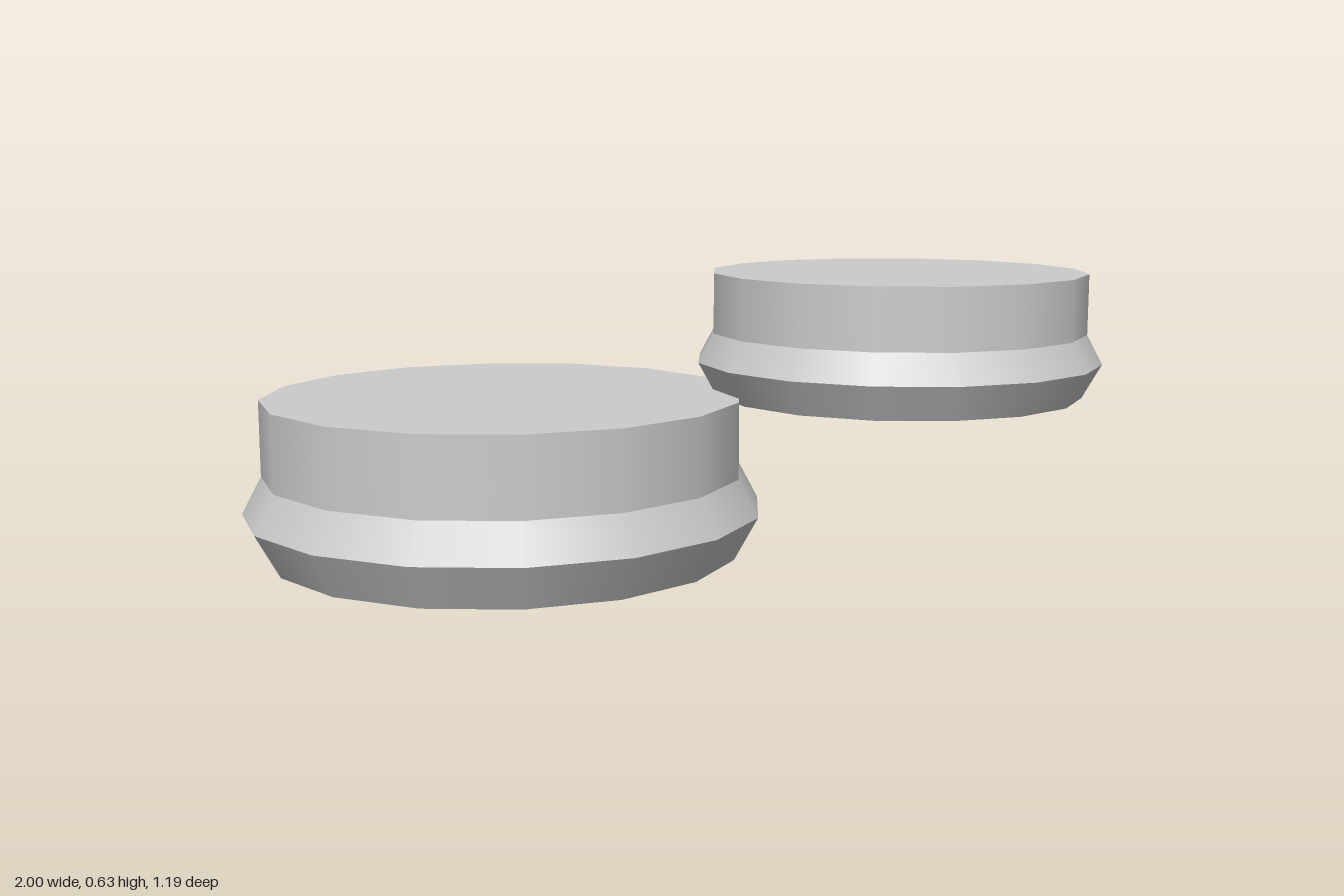
import * as THREE from 'three';
import { mergeGeometries } from 'three/addons/utils/BufferGeometryUtils.js';

const SIDES = 16;

// Half-profile of one disc, from the recessed underside out and up to the top
const PROFILE = [
  [0, 0.1], [0.37, 0.1],      // recess floor
  [0.43, 0],                  // recess wall
  [0.54, 0],                  // foot ring
  [0.595, 0.1],               // lower flare
  [0.55, 0.185],              // upper bevel
  [0.55, 0.36],               // neck
  [0, 0.36],                  // flat top
].map(([r, y]) => new THREE.Vector2(r, y));

// Each band is its own lathe: smooth around, crisp between bands
function discGeometry() {
  const bands = [];
  for (let i = 0; i < PROFILE.length - 1; i++) {
    bands.push(new THREE.LatheGeometry([PROFILE[i], PROFILE[i + 1]], SIDES));
  }
  return mergeGeometries(bands);
}

export function createModel() {
  const model = new THREE.Group();
  model.name = 'steppingDiscs';

  const grey = new THREE.MeshStandardMaterial({ color: 0xcccccc });
  grey.name = 'light grey';

  const geometry = discGeometry();
  const addDisc = (name, x, y, scale) => {
    const disc = new THREE.Mesh(geometry, grey);
    disc.name = name;
    disc.position.set(x, y, 0);
    disc.scale.setScalar(scale);
    model.add(disc);
  };

  addDisc('largeLowerDisc', -0.405, 0, 1);
  addDisc('smallUpperDisc', 0.524, 0.343, 0.8);
  return model;
}
